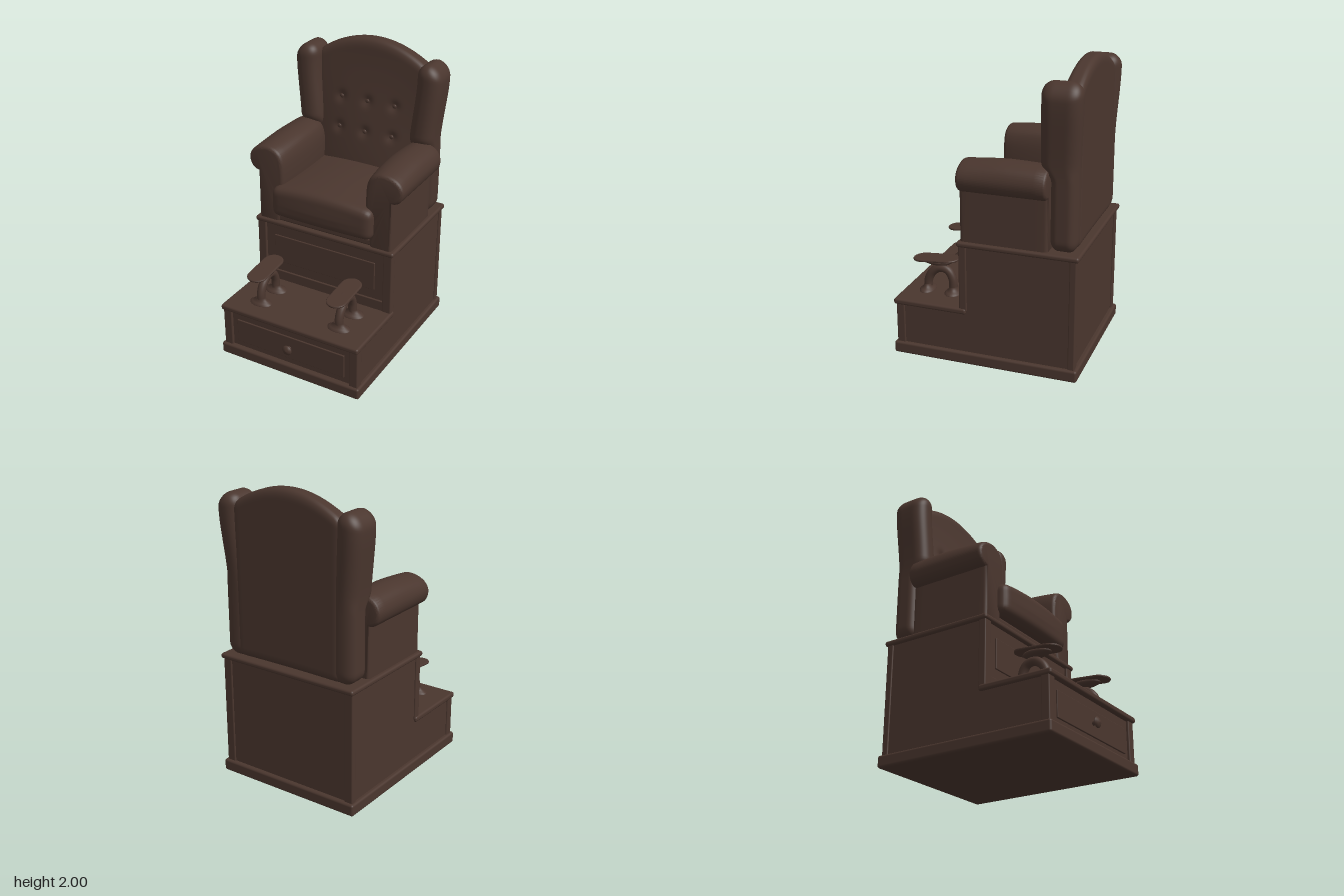
import * as THREE from 'three';
import { mergeVertices, toCreasedNormals } from 'three/addons/utils/BufferGeometryUtils.js';
import { RoundedBoxGeometry } from 'three/addons/geometries/RoundedBoxGeometry.js';

const brown = new THREE.MeshStandardMaterial({ color: 0x4a362e });
brown.name = 'dark brown';

const { lerp, smoothstep, clamp } = THREE.MathUtils;

export function createModel() {
  const model = new THREE.Group();
  model.name = 'pedestalArmchair';

  function add(name, geometry, x = 0, y = 0, z = 0, parent = model) {
    const mesh = new THREE.Mesh(geometry, brown);
    mesh.name = name;
    mesh.position.set(x, y, z);
    parent.add(mesh);
    return mesh;
  }

  // Box given by its limits, with a small rounded edge
  function block(name, [x0, x1], [y0, y1], [z0, z1], r = 0.004) {
    const g = new RoundedBoxGeometry(x1 - x0, y1 - y0, z1 - z0, 2, r);
    return add(name, g, (x0 + x1) / 2, (y0 + y1) / 2, (z0 + z1) / 2);
  }

  // Upholstered block: rounded grid box whose vertices are then moved by a rule
  function softBox([w, h, d], r, [nx, ny, nz], rule) {
    const g = new THREE.BoxGeometry(w, h, d, nx, ny, nz);
    const p = g.attributes.position;
    const v = new THREE.Vector3();
    const core = new THREE.Vector3();
    const lim = new THREE.Vector3(w / 2 - r, h / 2 - r, d / 2 - r);
    for (let i = 0; i < p.count; i++) {
      v.fromBufferAttribute(p, i);
      core.copy(v).clamp(lim.clone().negate(), lim);
      v.sub(core).setLength(r).add(core);
      rule(v);
      p.setXYZ(i, v.x, v.y, v.z);
    }
    g.deleteAttribute('uv');
    g.deleteAttribute('normal');
    const smooth = mergeVertices(g, 1e-5);
    smooth.computeVertexNormals();
    return smooth;
  }

  // Pedestal: plinth, two carcasses and their moulded tops
  block('plinth', [-0.53, 0.53], [0, 0.08], [-0.64, 0.62], 0.015);
  block('lowerCarcass', [-0.504, 0.504], [0.05, 0.37], [-0.61, 0.585]);
  block('upperCarcass', [-0.504, 0.504], [0.3, 0.84], [-0.61, 0.14]);
  block('stepTop', [-0.522, 0.522], [0.35, 0.39], [0.11, 0.62], 0.015);
  block('pedestalTop', [-0.525, 0.525], [0.818, 0.853], [-0.637, 0.168], 0.015);
  for (const s of [-1, 1]) {
    const postX = s > 0 ? [0.45, 0.513] : [-0.513, -0.45];
    block('lowerFrontPost', postX, [0.06, 0.36], [0.545, 0.603], 0.008);
    block('upperFrontPost', postX, [0.37, 0.83], [0.105, 0.157], 0.008);
    block('rearPost', postX, [0.06, 0.83], [-0.62, -0.575], 0.008);
  }
  block('upperFrontRail', [-0.46, 0.46], [0.38, 0.46], [0.1, 0.153]);
  block('upperFrontPanel', [-0.385, 0.385], [0.53, 0.735], [0.12, 0.149]);
  block('drawerFront', [-0.41, 0.41], [0.12, 0.29], [0.55, 0.595]);

  // Drawer knob
  const knob = new THREE.LatheGeometry(
    [[0.016, 0], [0.012, 0.018], [0.034, 0.026], [0.035, 0.034], [0.022, 0.045], [0, 0.049]]
      .map(([x, y]) => new THREE.Vector2(x, y)), 24);
  add('drawerKnob', knob.rotateX(Math.PI / 2), 0, 0.205, 0.593);

  // Footrests: flared feet, bent tube and tilted sole plate
  const foot = new THREE.LatheGeometry(
    [[1, 0], [1, 0.008], [0.8, 0.018], [0.55, 0.03], [0.5, 0.05]]
      .map(([x, y]) => new THREE.Vector2(x, y)), 28);
  const arch = new THREE.CatmullRomCurve3(
    [[0.385, 0.465], [0.46, 0.46], [0.52, 0.43], [0.556, 0.375], [0.545, 0.32], [0.49, 0.287], [0.385, 0.283]]
      .map(([y, z]) => new THREE.Vector3(0, y, z)));
  const tube = new THREE.TubeGeometry(arch, 36, 0.029, 14);
  const sole = new THREE.Shape();
  sole.absarc(0, 0.093, 0.062, 0, Math.PI);
  sole.absarc(0, -0.093, 0.062, Math.PI, Math.PI * 2);
  const plate = new THREE.ExtrudeGeometry(sole, {
    depth: 0.006, bevelEnabled: true, bevelSize: 0.008, bevelThickness: 0.005, bevelSegments: 2, curveSegments: 16,
  }).rotateX(-Math.PI / 2);
  for (const s of [-1, 1]) {
    const rest = new THREE.Group();
    rest.name = s > 0 ? 'leftFootrest' : 'rightFootrest';
    rest.position.x = s * 0.3;
    model.add(rest);
    add('frontFoot', foot, 0, 0.388, 0.465, rest).scale.set(0.08, 1, 0.052);
    add('rearFoot', foot, 0, 0.388, 0.28, rest).scale.set(0.08, 1, 0.058);
    add('bentTube', tube, 0, 0, 0, rest);
    add('plateBracket', new THREE.SphereGeometry(1, 24, 12), 0, 0.603, 0.39, rest).scale.set(0.052, 0.026, 0.1);
    add('solePlate', plate, 0, 0.618, 0.398, rest).rotation.x = 0.08;
  }

  // Seat rail and crowned cushion, wider at its front lip
  block('seatRail', [-0.385, 0.385], [0.85, 0.9], [-0.45, 0.14], 0.015);
  block('seatDeck', [-0.37, 0.37], [0.88, 0.95], [-0.45, 0.12], 0.01);
  add('seatCushion', softBox([0.75, 0.21, 0.64], 0.05, [32, 14, 32], (v) => {
    const fx = v.x / 0.375;
    const fz = v.z / 0.32;
    if (v.y > 0) v.y += 0.045 * (1 - fx * fx) * (1 - 0.35 * fz * fz);
    if (v.z > 0.2) v.z += 0.018 * (1 - fx * fx) * (1 - Math.abs(v.y) / 0.2);
  }), 0, 1.015, -0.115);

  // Arms: scrolled profile run front to back, bulging over the seat
  const armProfile = [
    [0.365, 0.852], [0.35, 1.0], [0.333, 1.12], [0.333, 1.24], [0.345, 1.31], [0.37, 1.35], [0.42, 1.37],
    [0.48, 1.362], [0.525, 1.335], [0.547, 1.29], [0.54, 1.245], [0.515, 1.218], [0.478, 1.21],
  ];
  for (const s of [-1, 1]) {
    const shape = new THREE.Shape();
    shape.moveTo(s * armProfile[0][0], armProfile[0][1]);
    shape.splineThru(armProfile.slice(1).map(([x, y]) => new THREE.Vector2(s * x, y)));
    shape.lineTo(s * 0.478, 0.852);
    shape.closePath();
    let arm = new THREE.ExtrudeGeometry(shape, {
      depth: 0.53, steps: 10, curveSegments: 40,
      bevelEnabled: true, bevelSize: 0.022, bevelThickness: 0.025, bevelSegments: 5,
    });
    const p = arm.attributes.position;
    for (let i = 0; i < p.count; i++) {
      const t = (p.getZ(i) - 0.265) / 0.29;
      const x = Math.abs(p.getX(i));
      const y = Math.max(p.getY(i), 0.85);
      const bulge = 1 - t * t;
      const inner = 1 - smoothstep(x, 0.33, 0.45);
      const top = smoothstep(y, 1.25, 1.38);
      p.setX(i, s * (x - 0.018 * bulge * inner));
      p.setY(i, y + top * (0.008 * bulge - 0.012 * Math.max(t, 0)));
    }
    arm = toCreasedNormals(arm, 0.7);
    add(s > 0 ? 'leftArm' : 'rightArm', arm, 0, 0, -0.405);
  }

  // Backrest: arched top, reclined front face and button dimples
  const buttons = [];
  for (const y of [1.37, 1.58]) for (const x of [-0.2, 0, 0.2]) buttons.push([x, y]);
  const frontZ = (x, y) =>
    lerp(-0.355, -0.485, smoothstep(y, 0.95, 2.05)) - 0.3 * x * x * (1 - smoothstep(y, 1.2, 1.9));
  add('backrest', softBox([0.84, 1.15, 0.2], 0.06, [56, 76, 10], (v) => {
    const x = v.x;
    const h = (v.y + 0.575) / 1.15;
    v.y = 0.85 + h * (1.15 - 0.82 * x * x);
    const f = clamp((v.z + 0.1) / 0.2, 0, 1);
    let z = frontZ(x, v.y);
    for (const [bx, by] of buttons) {
      z -= 0.018 * Math.exp(-((x - bx) ** 2 + (v.y - by) ** 2) / 0.0011);
    }
    v.z = lerp(-0.605, z, f);
  }));
  for (const [x, y] of buttons) {
    add('button', new THREE.SphereGeometry(0.015, 14, 8), x, y, frontZ(x, y) - 0.014).scale.z = 0.6;
  }

  // Wings: flare outward with height, step back below the arms
  for (const s of [-1, 1]) {
    const wing = softBox([0.17, 1.07, 0.25], 0.078, [16, 60, 20], (v) => {
      const y = v.y + 1.385;
      const a = v.x;
      const flare = smoothstep(y, 1.3, 1.85);
      const low = 1 - smoothstep(y, 1.3, 1.42);
      const f = (v.z + 0.125) / 0.25;
      v.x = s * (lerp(0.415, 0.455, flare) + a);
      v.y = y - 0.35 * Math.max(a, 0) * smoothstep(y, 1.6, 1.92);
      v.z = lerp(lerp(-0.605, -0.625, flare), lerp(-0.362, -0.43, low) - 0.01 * flare, f);
    });
    // Mirrored side needs its corner order reversed
    if (s < 0) {
      wing.index.array.reverse();
      wing.computeVertexNormals();
    }
    add(s > 0 ? 'leftWing' : 'rightWing', wing);
  }

  return model;
}
